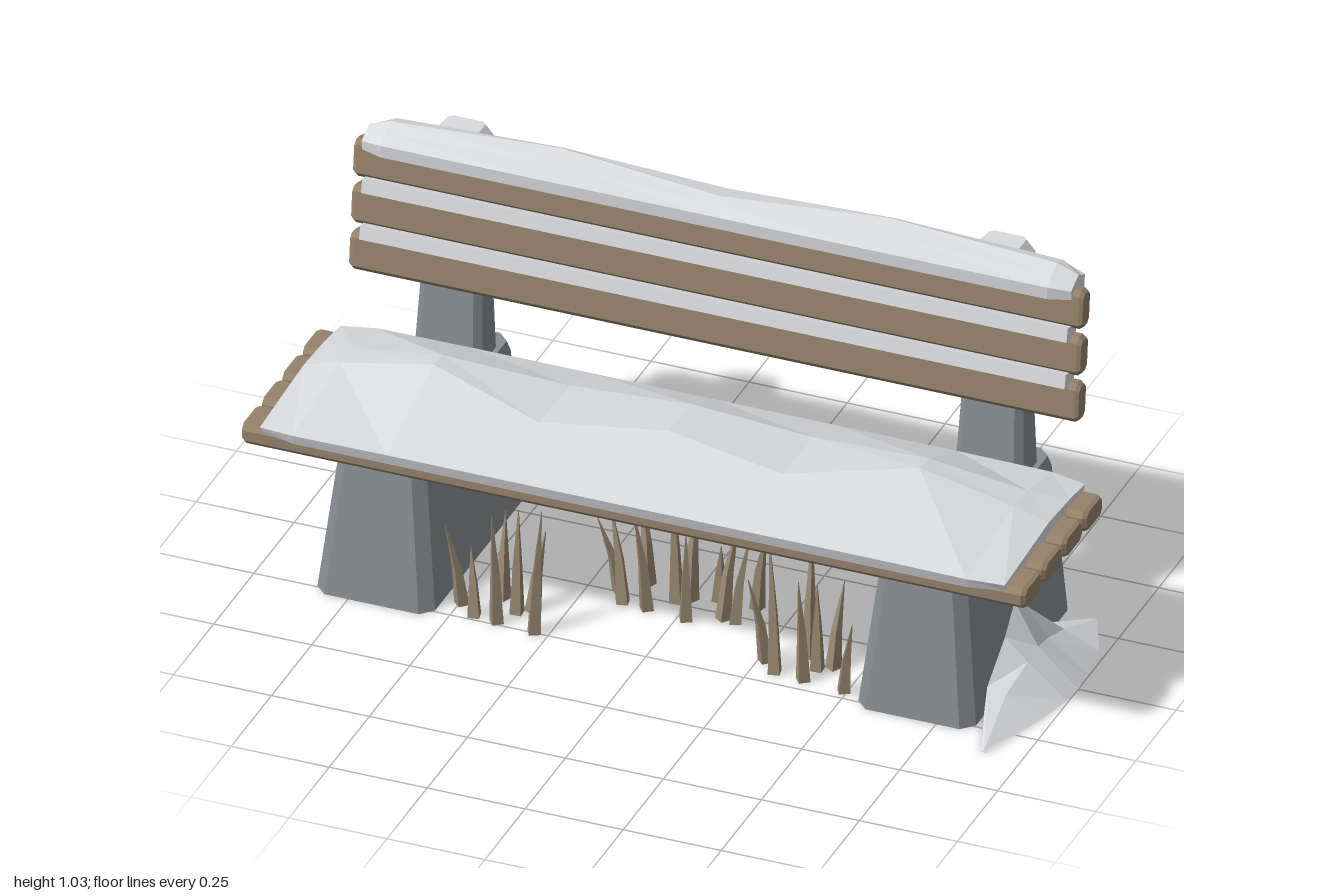
import * as THREE from 'three';

const mat = (name, color) => {
  const m = new THREE.MeshStandardMaterial({ color, side: THREE.FrontSide });
  m.name = name;
  return m;
};

// Skin a list of equal-length rings (counter-clockwise seen from the last ring), capped, faceted.
function loft(rings) {
  const pos = [];
  const tri = (a, b, c) => pos.push(...a, ...b, ...c);
  const n = rings[0].length;
  for (let i = 0; i < rings.length - 1; i++) {
    for (let j = 0; j < n; j++) {
      const k = (j + 1) % n;
      tri(rings[i][j], rings[i][k], rings[i + 1][k]);
      tri(rings[i][j], rings[i + 1][k], rings[i + 1][j]);
    }
  }
  const first = rings[0], last = rings[rings.length - 1];
  for (let j = 1; j < n - 1; j++) {
    tri(first[0], first[j + 1], first[j]);
    tri(last[0], last[j], last[j + 1]);
  }
  const g = new THREE.BufferGeometry();
  g.setAttribute('position', new THREE.Float32BufferAttribute(pos, 3));
  g.computeVertexNormals();
  return g;
}

// Rectangle with cut corners, counter-clockwise, half sizes a and b.
const octagon = (a, b, c) => [
  [a, -b + c], [a, b - c], [a - c, b], [-a + c, b],
  [-a, b - c], [-a, -b + c], [-a + c, -b], [a - c, -b],
];

// Horizontal ring at height y, spanning z0 (back) to z1 (front).
const levelRing = (y, half, z0, z1, c) =>
  octagon(half, (z1 - z0) / 2, c).map(([u, v]) => [u, y, (z0 + z1) / 2 - v]);

// Bevelled plank running along x.
const plank = (halfLength, height, depth, c) => {
  const o = octagon(depth / 2, height / 2, c);
  const ring = (x, s) => o.map(([u, v]) => [x, v * s, -u * s]);
  return loft([ring(-halfLength, 0.85), ring(-halfLength + 0.01, 1),
    ring(halfLength - 0.01, 1), ring(halfLength, 0.85)]);
};

export function createModel() {
  const model = new THREE.Group();
  const concrete = mat('concrete', 0x868c92);
  const wood = mat('wood', 0x94816a);
  const snow = mat('snow', 0xd8dade);
  const dryGrass = mat('dryGrass', 0x988870);

  const add = (name, geometry, material, x = 0, y = 0, z = 0, tilt = 0) => {
    const mesh = new THREE.Mesh(geometry, material);
    mesh.name = name;
    mesh.position.set(x, y, z);
    mesh.rotation.x = tilt;
    model.add(mesh);
    return mesh;
  };

  // Concrete feet, backrest posts and the snow caps behind them
  const foot = loft([
    levelRing(0, 0.15, -0.355, 0.275, 0.03),
    levelRing(0.39, 0.108, -0.355, 0.228, 0.028),
    levelRing(0.415, 0.1, -0.35, 0.222, 0.028),
  ]);
  const post = loft([
    levelRing(0.41, 0.087, -0.305, -0.185, 0.018),
    levelRing(0.94, 0.065, -0.3, -0.245, 0.014),
  ]);
  const cap = loft([
    levelRing(0.937, 0.072, -0.332, -0.24, 0.012),
    levelRing(0.975, 0.07, -0.332, -0.24, 0.012),
    levelRing(1.003, 0.048, -0.327, -0.25, 0.01),
  ]);
  for (const [side, x] of [['left', 0.69], ['right', -0.69]]) {
    add(side + 'Foot', foot, concrete, x);
    add(side + 'Post', post, concrete, x);
    add(side + 'PostSnow', cap, snow, x);
  }

  // Seat slats
  const seatSlat = plank(1, 0.055, 0.112, 0.014);
  for (let i = 0; i < 4; i++) add('seatSlat', seatSlat, wood, 0, 0.428, 0.277 - i * 0.126);

  // Backrest slats, with snow lying on the lower two
  const backSlat = plank(0.93, 0.1, 0.05, 0.013);
  const slatSnow = new THREE.BoxGeometry(1.8, 0.036, 0.056);
  for (let i = 0; i < 3; i++) {
    const y = 0.668 + i * 0.121, z = -0.195 - i * 0.0125;
    add('backSlat', backSlat, wood, 0, y, z, -0.1);
    if (i < 2) add('slatSnow', slatSnow, snow, 0, y + 0.059, z + 0.005, -0.2);
  }

  // Seat snow: [x, ridge height, front crest z, back crest z, edge height, inset]
  const half = [
    [0.31, 0.525, 0.16, -0.035, 0.472, 0],
    [0.62, 0.557, 0.06, 0.0, 0.472, 0],
    [0.86, 0.507, 0.06, -0.03, 0.47, 0],
    [0.95, 0.482, 0.06, -0.07, 0.462, 0.02],
  ];
  const mirrorRows = (rows, middle) => [
    ...rows.map(([x, ...r]) => [-x, ...r]).reverse(), middle, ...rows,
  ];
  add('seatSnow', loft(mirrorRows(half, [0, 0.545, 0.11, -0.035, 0.472, 0]).map(
    ([x, top, zf, zb, edge, inset]) => [
      [x, 0.442, 0.345 - inset], [x, 0.438, -0.168 + inset],
      [x, edge, -0.175 + inset / 2], [x, top - 0.008, zb],
      [x, top, zf], [x, edge, 0.355 - inset],
    ])), snow);

  // Snow along the top rail: [x, ridge height, ridge z, inset]
  const rail = [[0.42, 1.026, -0.25, 0], [0.85, 1.01, -0.235, 0], [0.905, 0.99, -0.235, 0.018]];
  add('railSnow', loft(mirrorRows(rail, [0, 1.01, -0.215, 0]).map(
    ([x, top, zr, inset]) => [
      [x, 0.945, -0.172 - inset], [x, 0.937, -0.288 + inset],
      [x, 0.98 - inset / 2, -0.291 + inset], [x, top - 0.012, -0.272 + inset],
      [x, top, zr], [x, top - 0.015, -0.2], [x, 0.978 - inset / 2, -0.17 - inset],
    ])), snow);

  // Drift against the left foot: [z, inner x, outer x, inner height, middle height]
  add('snowDrift', loft([
    [-0.31, 0.905, 0.92, 0.002, 0.002],
    [-0.18, 0.83, 0.98, 0.045, 0.04],
    [-0.07, 0.83, 0.995, 0.155, 0.08],
    [0, 0.83, 1.0, 0.205, 0.095],
    [0.06, 0.83, 0.995, 0.14, 0.085],
    [0.17, 0.83, 0.97, 0.065, 0.055],
    [0.35, 0.895, 0.91, 0.002, 0.002],
  ].map(([z, xi, xo, hi, hm]) => [
    [xi, 0, z], [xo, 0, z], [(xi * 3 + xo * 2) / 5, hm, z], [xi + 0.008, hi, z],
  ])), snow);

  // Dry grass in three tufts: tuft depth, then [tip x, height] of each blade
  const tufts = [
    [0.19, [[-0.52, 0.23], [-0.46, 0.18], [-0.42, 0.22], [-0.385, 0.31], [-0.35, 0.29],
      [-0.31, 0.2], [-0.26, 0.35]]],
    [0.0, [[-0.21, 0.22], [-0.18, 0.25], [-0.15, 0.24], [-0.1, 0.28], [-0.035, 0.32],
      [0, 0.29], [0.03, 0.25], [0.08, 0.17], [0.13, 0.27], [0.17, 0.24], [0.2, 0.25]]],
    [0.16, [[0.24, 0.24], [0.29, 0.35], [0.35, 0.32], [0.385, 0.29], [0.4, 0.24],
      [0.44, 0.22], [0.52, 0.2]]],
  ];
  const grass = new THREE.Group();
  grass.name = 'dryGrass';
  model.add(grass);
  for (const [depth, blades] of tufts) {
    const centre = (blades[0][0] + blades[blades.length - 1][0]) / 2;
    blades.forEach(([tip, h], i) => {
      const lean = (tip - centre) * 0.2;
      const z = depth + 0.06 * Math.sin(i * 2.4);
      const leanZ = 0.04 * Math.cos(i * 1.9);
      const ring = (y, r, dx, dz) => [0, 1, 2, 3].map((k) => {
        const a = i + k * Math.PI / 2;
        return [tip - lean + dx + r * Math.cos(a), y, z + dz - r * Math.sin(a)];
      });
      const blade = new THREE.Mesh(loft([
        ring(0, 0.02, 0, 0), ring(h * 0.45, 0.013, lean * 0.3, leanZ * 0.3),
        ring(h, 0.001, lean, leanZ),
      ]), dryGrass);
      blade.name = 'grassBlade';
      grass.add(blade);
    });
  }
  return model;
}
